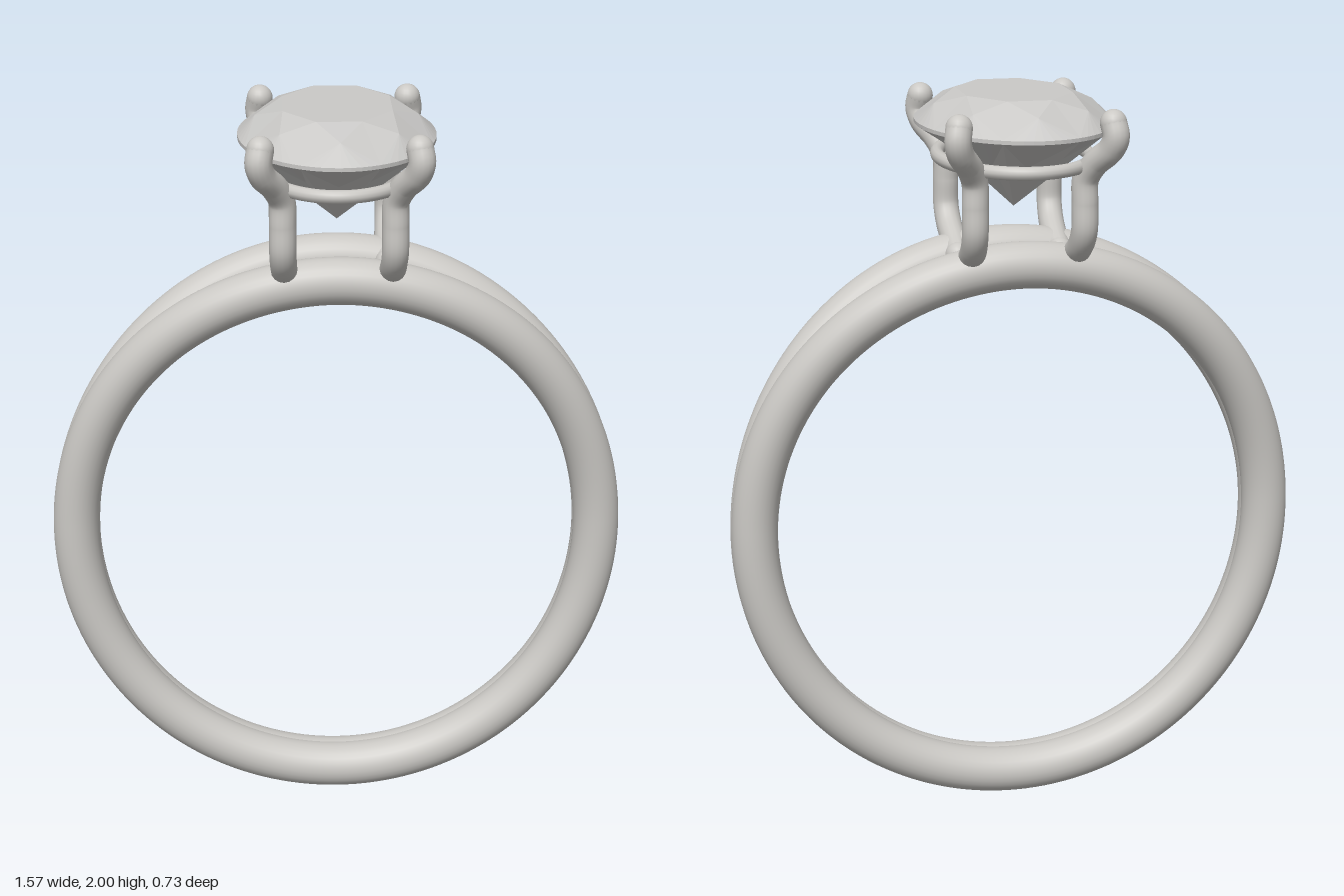
import * as THREE from 'three';

const metal = new THREE.MeshStandardMaterial({ color: 0xcac8c4 });
metal.name = 'polished metal';
const stone = new THREE.MeshStandardMaterial({ color: 0xcac9c7 });
stone.name = 'clear stone';
stone.flatShading = true;

// One strand of the split band: an upright oval that swings outward near the top
class StrandCurve extends THREE.Curve {
  constructor(side) { super(); this.side = side; }
  getPoint(t, target = new THREE.Vector3()) {
    const a = (t - 0.5) * Math.PI * 2; // angle from the top
    const spread = 1 - THREE.MathUtils.smoothstep(Math.abs(a), 0.08, 1.54);
    return target.set(0.72 * Math.sin(a), 0.808 + 0.745 * Math.cos(a), this.side * (0.015 + 0.097 * spread));
  }
}

// Oval rail under the stone
class OvalCurve extends THREE.Curve {
  getPoint(t, target = new THREE.Vector3()) {
    const a = t * Math.PI * 2;
    return target.set(0.2 * Math.cos(a), 1.828, 0.285 * Math.sin(a));
  }
}

function addMesh(group, name, geometry, material) {
  const mesh = new THREE.Mesh(geometry, material);
  mesh.name = name;
  group.add(mesh);
  return mesh;
}

// Prong: rounded tube from the band's underside up to the claw
function buildProng(sx, sz) {
  const prong = new THREE.Group();
  prong.name = 'prong';
  const pts = [
    [0.14, 1.55, 0.055], [0.14, 1.575, 0.11], [0.143, 1.615, 0.175], [0.145, 1.66, 0.205],
    [0.145, 1.73, 0.207], [0.146, 1.795, 0.208], [0.165, 1.84, 0.235], [0.195, 1.88, 0.275],
    [0.205, 1.915, 0.29], [0.2, 1.95, 0.28],
  ].map(([x, y, z]) => new THREE.Vector3(x * sx, y, z * sz));
  const curve = new THREE.CatmullRomCurve3(pts, false, 'centripetal');
  addMesh(prong, 'prongWire', new THREE.TubeGeometry(curve, 64, 0.035, 16), metal);
  addMesh(prong, 'prongFoot', new THREE.SphereGeometry(0.037, 20, 14), metal).position.copy(pts[0]);
  addMesh(prong, 'prongClaw', new THREE.SphereGeometry(0.035, 20, 14), metal).position.copy(pts[pts.length - 1]);
  return prong;
}

// Oval brilliant-cut stone
function buildStoneGeometry() {
  const RX = 0.26, RZ = 0.365, step = Math.PI / 8, fan = 4;
  const pos = [];
  const P = (r, a, y) => [RX * r * Math.cos(a), y, RZ * r * Math.sin(a)];
  const tri = (a, b, c, flip) => pos.push(...a, ...(flip ? c : b), ...(flip ? b : c));

  // Inner ring, middle points and girdle, joined by star, kite and girdle facets
  function half(inner, yIn, mid, yMid, yGirdle, flip) {
    for (let k = 0; k < 8; k++) {
      const a = k * 2 * step;
      const t0 = P(inner, a - step, yIn), t1 = P(inner, a + step, yIn);
      const s = P(mid, a, yMid);
      const g0 = P(1, a - step, yGirdle), g1 = P(1, a + step, yGirdle);
      if (inner > 0) {
        tri([0, yIn, 0], t1, t0, flip);
        tri(t0, t1, s, flip);
      }
      tri(t0, s, g0, flip);
      tri(t1, g1, s, flip);
      for (let i = -fan; i < fan; i++) {
        tri(s, P(1, a + (i + 1) * step / fan, yGirdle), P(1, a + i * step / fan, yGirdle), flip);
      }
    }
  }
  half(0.59, 2.0, 0.82, 1.971, 1.924, false); // crown
  half(0, 1.69, 0.45, 1.82, 1.914, true); // pavilion

  // Thin girdle band
  const n = 16 * fan;
  for (let i = 0; i < n; i++) {
    const a = i * Math.PI * 2 / n, b = (i + 1) * Math.PI * 2 / n;
    tri(P(1, a, 1.914), P(1, a, 1.924), P(1, b, 1.924));
    tri(P(1, a, 1.914), P(1, b, 1.924), P(1, b, 1.914));
  }
  const geo = new THREE.BufferGeometry();
  geo.setAttribute('position', new THREE.Float32BufferAttribute(pos, 3));
  geo.computeVertexNormals();
  return geo;
}

export function createModel() {
  const ring = new THREE.Group();
  ring.name = 'ring';

  for (const side of [1, -1]) {
    addMesh(ring, side > 0 ? 'frontStrand' : 'backStrand',
      new THREE.TubeGeometry(new StrandCurve(side), 180, 0.063, 28, true), metal);
  }

  const setting = new THREE.Group();
  setting.name = 'setting';
  for (const sx of [1, -1]) for (const sz of [1, -1]) setting.add(buildProng(sx, sz));
  addMesh(setting, 'basketRail', new THREE.TubeGeometry(new OvalCurve(), 96, 0.018, 12, true), metal);
  ring.add(setting);

  addMesh(ring, 'stone', buildStoneGeometry(), stone);
  return ring;
}
